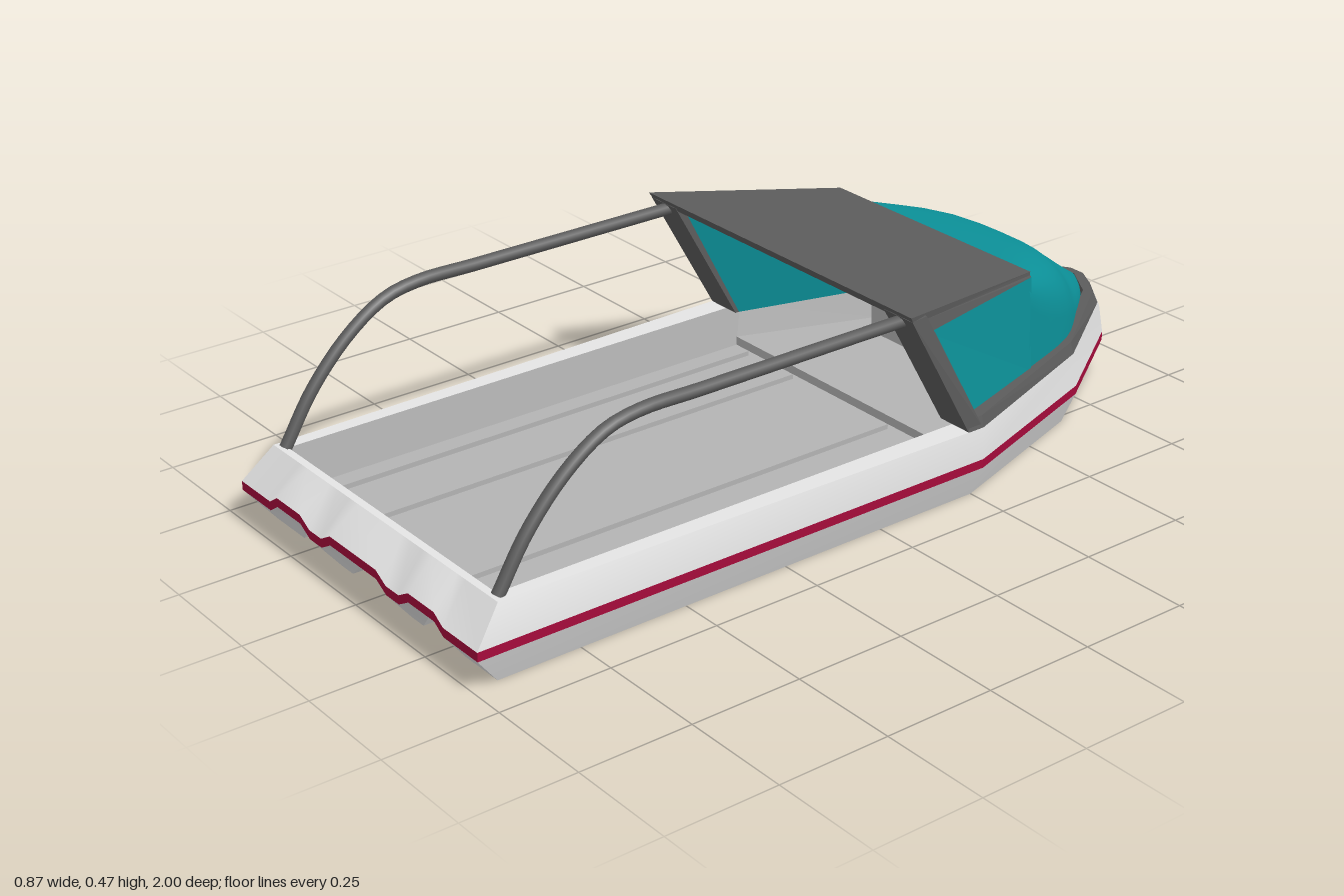
import * as THREE from 'three';

const paint = (name, color) => new THREE.MeshStandardMaterial({ name, color, side: THREE.DoubleSide });
const mats = {
  white: paint('hull white', 0xe4e4e4),
  grey: paint('deck grey', 0xb3b3b3),
  dark: paint('trim dark grey', 0x5c5c5c),
  teal: paint('teal glass', 0x0c9199),
  red: paint('crimson stripe', 0xa50b3b),
};

// Skin between rows of [x, y, z] points; faceted unless smooth
function skin(rows, smooth = false) {
  const n = rows[0].length, index = [];
  for (let r = 0; r < rows.length - 1; r++) {
    for (let c = 0; c < n - 1; c++) {
      const a = r * n + c, b = a + n;
      index.push(a, b, a + 1, a + 1, b, b + 1);
    }
  }
  let geo = new THREE.BufferGeometry();
  geo.setAttribute('position', new THREE.Float32BufferAttribute(rows.flat(2), 3));
  geo.setIndex(index);
  if (!smooth) geo = geo.toNonIndexed();
  geo.computeVertexNormals();
  return geo;
}

// Half outline [x, z] taken around the bow to the other side at height y
function around(plan, y, closed = false) {
  const right = plan.map(([x, z]) => [x, y, z]);
  const path = [...right, ...right.map(([x, h, z]) => [-x, h, z]).reverse()];
  return closed ? [...path, path[0]] : path;
}

// Solid between two four-cornered ends
function prism(a, b) {
  const ring = (q) => [...q, q[0]];
  const cap = (q) => [[q[0], q[1]], [q[3], q[2]]];
  return [skin([ring(a), ring(b)]), skin(cap(a)), skin(cap(b))];
}

export function createModel() {
  const boat = new THREE.Group();
  boat.name = 'boat';
  const add = (name, geo, mat) => {
    const mesh = new THREE.Mesh(geo, mats[mat]);
    mesh.name = name;
    boat.add(mesh);
    return mesh;
  };
  const flip = (p) => [-p[0], p[1], p[2]];

  // Outlines from stern to bow
  const topPlan = [[0.41, 0.935], [0.432, -0.25], [0.287, -0.65], [0.12, -0.89], [0.03, -0.955]];
  const beltPlan = [[0.435, 1], [0.435, -0.25], [0.3, -0.65], [0.13, -0.9], [0.02, -1]];
  const keelPlan = [[0.405, 0.94], [0.4, -0.25], [0.27, -0.64], [0.11, -0.88], [0.02, -0.945]];
  const rimPlan = [[0.38, 0.918], [0.38, -0.25], [0.24, -0.64], [0.09, -0.85], [0.02, -0.9]];
  const floorPlan = [[0.367, 0.91], [0.367, -0.23], [0.225, -0.63], [0.08, -0.83], [0.015, -0.87]];
  const TOP = 0.167, HI = 0.095, LO = 0.075, FLOOR = 0.075, STEP = 0.095;

  // Hull sides and stripe
  add('upperHull', skin([around(topPlan, TOP), around(beltPlan, HI)], true), 'white');
  add('sideStripe', skin([around(beltPlan, HI), around(beltPlan, LO)]), 'red');
  add('lowerHull', skin([around(beltPlan, LO), around(keelPlan, 0)], true), 'white');

  // Bottom with three channels that fade out at the bow
  const half = [[0.405, 0], [0.3, 0], [0.27, 0.04], [0.18, 0.04], [0.15, 0], [0.11, 0], [0.07, 0.04]];
  const section = [...half, ...half.map(([x, y]) => [-x, y]).reverse()];
  const depth = [1, 1, 1, 0.6, 0];
  const keelRows = keelPlan.map(([w, z], i) => section.map(([x, y]) => [x * w / 0.405, y * depth[i], z]));
  add('hullBottom', skin(keelRows), 'white');

  // Transom whose belt line waves over the channels
  const beltX = [0.435, 0.32, 0.29, 0.2, 0.165, 0.12, 0.085];
  const waveX = [...beltX, ...beltX.map((x) => -x).reverse()];
  const wave = (base) => waveX.map((x, i) => [x, base + section[i][1] * 0.5, 1]);
  const transomTop = waveX.map((x) => [x * 0.41 / 0.435, TOP, 0.935]);
  add('upperTransom', skin([transomTop, wave(HI)], true), 'white');
  add('transomStripe', skin([wave(HI), wave(LO)]), 'red');
  add('lowerTransom', skin([wave(LO), keelRows[0]], true), 'white');

  // Rim, inner wall, floor and raised fore deck
  const across = (plan, y) => plan.map(([x, z]) => [[x, y, z], [-x, y, z]]);
  add('rim', skin([around(topPlan, TOP, true), around(rimPlan, TOP, true)]), 'white');
  add('innerWall', skin([around(rimPlan, TOP, true), around(floorPlan, FLOOR, true)]), 'grey');
  add('floor', skin([...across(floorPlan.slice(0, 2), FLOOR), ...across(floorPlan.slice(1), STEP)]), 'grey');

  // Canopy base trim around the bow
  const trimPlan = [[0.432, -0.21], ...topPlan.slice(1)];
  const trimTop = [[0.426, -0.21], [0.426, -0.25], [0.28, -0.648], [0.112, -0.88], [0.02, -0.94]];
  const trimIn = [[0.397, -0.21], [0.397, -0.25], [0.253, -0.64], [0.092, -0.87], [0.01, -0.922]];
  add('canopyBaseTrim', skin([around(trimPlan, TOP), around(trimTop, 0.193), around(trimIn, 0.193), around(trimIn, TOP)]), 'dark');

  // Roof slab
  const roof = [[0.435, 0.472, -0.04], [0.31, 0.413, -0.485], [0.31, 0.395, -0.485], [0.43, 0.452, -0.052]];
  prism(roof, roof.map(flip)).forEach((g) => add('roof', g, 'dark'));

  // Rounded nose glass: arched sections shrinking toward the bow
  const nose = new THREE.CatmullRomCurve3([
    [0.322, 0.405, -0.48], [0.255, 0.367, -0.66], [0.172, 0.3, -0.77], [0.095, 0.235, -0.86], [0.01, 0.19, -0.927],
  ].map((p) => new THREE.Vector3(...p)));
  const noseRows = [];
  for (let i = 0; i <= 16; i++) {
    const p = nose.getPoint(i / 16), power = 0.2 + 0.7 * Math.min(1, i / 8), row = [];
    for (let j = 0; j <= 24; j++) {
      const a = Math.PI * j / 24, c = Math.cos(a), s = Math.max(0, Math.sin(a));
      row.push([p.x * Math.sign(c) * Math.abs(c) ** power, 0.18 + (p.y - 0.18) * s ** power, p.z]);
    }
    noseRows.push(row);
  }
  add('noseGlass', skin(noseRows, true), 'teal');

  // Inner nose lining: sloped head and upright end
  const lining = [[[0.26, 0.404, -0.483], [0.27, TOP, -0.5]], [[0.125, 0.295, -0.72], [0.148, TOP, -0.755]]];
  const arch = ([s, b]) => [b, s, flip(s), flip(b)];
  add('innerNose', skin(lining.map(arch)), 'teal');
  const [endTop, endLow] = lining[1];
  add('innerNoseEnd', skin([[endTop, flip(endTop)], [endLow, flip(endLow)]]), 'teal');

  for (const s of [1, -1]) {
    const side = (p) => [p[0] * s, p[1], p[2]];
    const quad = (...p) => { const q = p.map(side); return skin([[q[0], q[1]], [q[3], q[2]]]); };

    // Side glass with a dark header strip, and its lining
    const rear = [0.426, 0.422, -0.095], front = [0.311, 0.4, -0.488];
    add('sideGlass', quad([0.405, 0.187, -0.23], rear, front, [0.322, 0.187, -0.488]), 'teal');
    add('sideHeader', quad(rear, [0.43, 0.455, -0.06], [0.31, 0.405, -0.485], front), 'dark');
    add('innerSide', quad([0.345, TOP, -0.22], [0.345, 0.46, -0.065], lining[0][0], lining[0][1]), 'teal');

    // Slanted rear pillar
    const foot = [[0.43, TOP, -0.21], [0.43, TOP, -0.25], [0.345, TOP, -0.25], [0.345, TOP, -0.21]];
    const head = [[0.432, 0.46, -0.046], [0.425, 0.46, -0.09], [0.345, 0.46, -0.09], [0.345, 0.46, -0.046]];
    prism(foot.map(side), head.map(side)).forEach((g) => add('canopyPillar', g, 'dark'));

    // Bent hand rail from the stern to the roof
    const path = new THREE.CatmullRomCurve3([
      [0.92, 0.165], [0.85, 0.275], [0.76, 0.37], [0.67, 0.428], [0.59, 0.445], [0.45, 0.445], [0.2, 0.445], [-0.08, 0.445],
    ].map(([z, y]) => new THREE.Vector3(0.387 * s, y, z)));
    add('handRail', new THREE.TubeGeometry(path, 40, 0.014, 10), 'dark');

    // Floor strips and bow box
    for (const [x, w] of [[0.325, 0.042], [0.16, 0.028]]) {
      add('floorStrip', new THREE.BoxGeometry(w, 0.014, 1.09), 'grey').position.set(x * s, FLOOR + 0.004, 0.33);
    }
    add('bowBox', new THREE.BoxGeometry(0.142, 0.083, 0.16), 'grey').position.set(0.13 * s, 0.1315, -0.57);
  }
  return boat;
}
